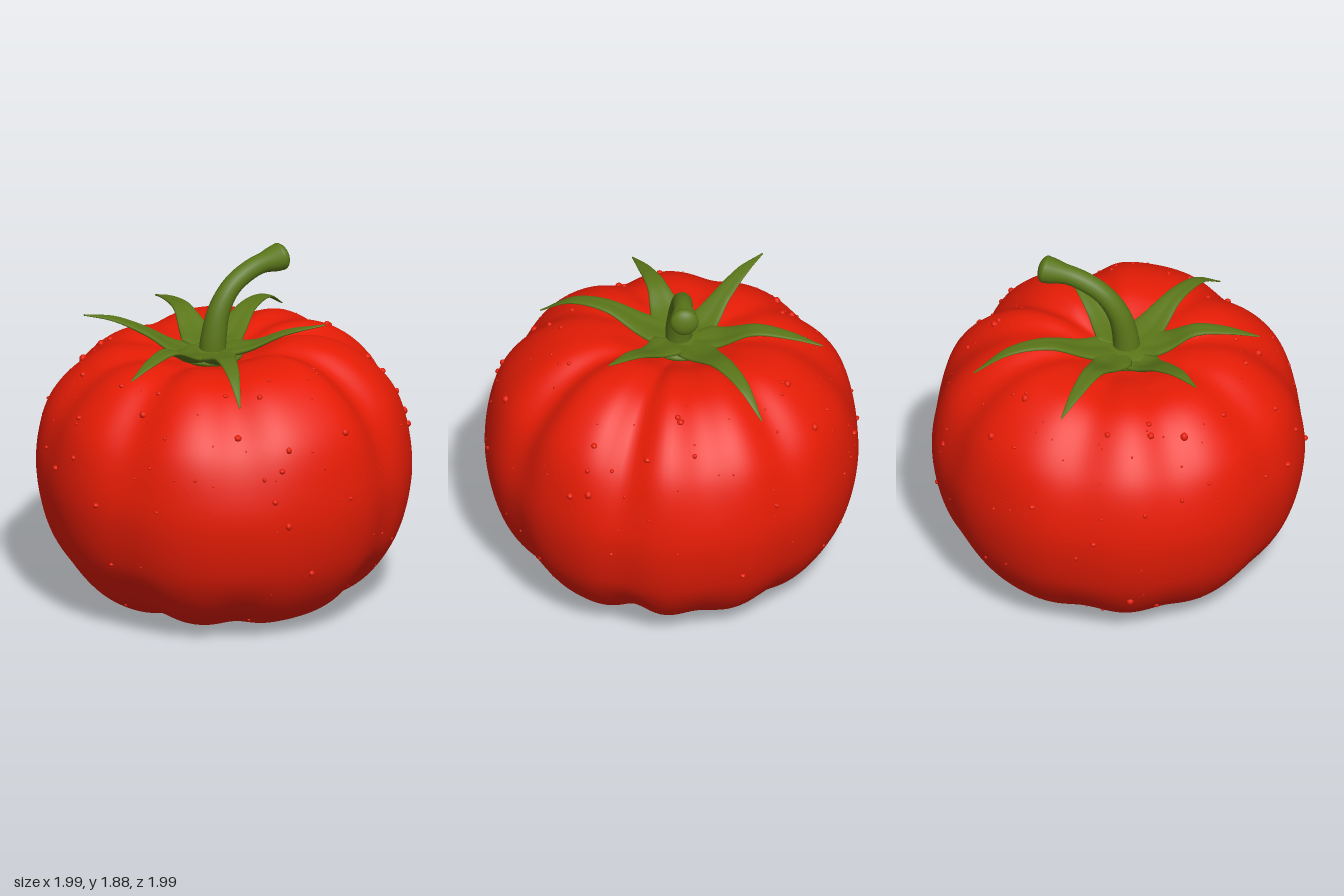
import * as THREE from 'three';
import { mergeGeometries } from 'three/addons/utils/BufferGeometryUtils.js';
import { ParametricGeometry } from 'three/addons/geometries/ParametricGeometry.js';

const red = new THREE.MeshStandardMaterial({ color: 0xe61c05 });
red.name = 'ripe red';
const green = new THREE.MeshStandardMaterial({ color: 0x5a7619 });
green.name = 'stalk green';

const curve = (pts) => new THREE.CatmullRomCurve3(pts.map((p) => new THREE.Vector3(...p)));
const smooth = THREE.MathUtils.smoothstep;
const CENTRE_X = -0.07;

// Body profile (radius, height), from the bottom dimple to the top dimple
const profile = curve([
  [0.002, 0.15, 0], [0.1, 0.085, 0], [0.28, 0.025, 0], [0.5, 0.015, 0], [0.73, 0.13, 0],
  [0.9, 0.36, 0], [0.978, 0.64, 0], [0.978, 0.88, 0], [0.91, 1.13, 0], [0.76, 1.31, 0],
  [0.58, 1.41, 0], [0.38, 1.42, 0], [0.2, 1.36, 0], [0.002, 1.3, 0],
]);

// Furrows between the lobes: angle from +x towards +z, depth, width (degrees)
const furrows = [
  [20, 0.075, 9], [-22, 0.085, 9], [-50, 0.045, 10], [-80, 0.045, 9], [77, 0.05, 11],
  [117, 0.06, 11], [157, 0.035, 10], [194, 0.035, 10], [228, 0.05, 12],
];

// A point on the body; u goes round, v goes up the profile
function bodyPoint(u, v, target) {
  const angle = -u * Math.PI * 2;
  const p = profile.getPoint(v);
  let depth = 0;
  for (const [deg, d, width] of furrows) {
    const diff = angle - THREE.MathUtils.degToRad(deg);
    const a = THREE.MathUtils.radToDeg(Math.atan2(Math.sin(diff), Math.cos(diff)));
    depth += d * Math.exp(-((a / width) ** 2));
  }
  const top = smooth(p.y, 0.7, 1.35);
  const bottom = 1 - smooth(p.y, 0.05, 0.45);
  const shoulder = smooth(p.x, 0.05, 0.45);
  const r = p.x * (1.012 - depth * (0.35 + 0.65 * top + 0.4 * bottom));
  const rise = top * (0.04 * Math.cos(angle) - 0.55 * depth) + 0.4 * bottom * depth;
  const shift = p.y > 0.7 ? CENTRE_X * (1 - p.x) : 0;
  return target.set(r * Math.cos(angle) + shift, p.y + shoulder * rise, r * Math.sin(angle));
}

// Small seeded random numbers
function makeRandom(seed) {
  return () => (seed = (seed * 16807) % 2147483647) / 2147483647;
}

// Little warts scattered over the skin, denser on the shoulders
function wartGeometry() {
  const random = makeRandom(4217);
  const parts = [];
  const p = new THREE.Vector3();
  for (let i = 0; i < 150; i++) {
    const v = i % 3 ? 0.52 + 0.24 * random() : 0.28 + 0.32 * random();
    const size = 0.005 + 0.016 * random() ** 3;
    bodyPoint(random(), v, p);
    const wart = new THREE.SphereGeometry(size, 8, 6);
    wart.scale(1, 0.7 + 0.5 * random(), 1);
    parts.push(wart.translate(p.x, p.y, p.z));
  }
  return mergeGeometries(parts);
}

// Half-widths of a sepal at stations along its length
const sepalWidths = [[0, 0.03], [0.18, 0.11], [0.3, 0.085], [0.45, 0.058], [0.75, 0.034], [1, 0.004]];

function sepalWidth(v) {
  let i = 0;
  while (i < sepalWidths.length - 2 && v > sepalWidths[i + 1][0]) i++;
  const [a, b] = [sepalWidths[i], sepalWidths[i + 1]];
  return THREE.MathUtils.mapLinear(v, a[0], b[0], a[1], b[1]);
}

// A tapering leaf along +z, with a lens section whose edges turn up
function sepalGeometry(points) {
  const spine = curve(points.map(([r, y]) => [0, y, r]));
  return new ParametricGeometry((u, v, target) => {
    const a = u * Math.PI * 2;
    const p = spine.getPoint(v);
    const x = sepalWidth(v) * Math.cos(a);
    const thick = 0.004 + 0.024 * (1 - v);
    target.set(x, p.y + thick * Math.sin(a) + 0.25 * Math.abs(x) * (1 - v), p.z);
  }, 16, 28);
}

// A curved stalk whose radius changes along its length
function stalkGeometry(path, radiusAt) {
  const rings = 48, sides = 20;
  const geo = new THREE.TubeGeometry(path, rings, 1, sides);
  const pos = geo.attributes.position;
  const v = new THREE.Vector3();
  for (let i = 0; i < pos.count; i++) {
    const t = Math.floor(i / (sides + 1)) / rings;
    const c = path.getPointAt(t);
    v.fromBufferAttribute(pos, i).sub(c).multiplyScalar(radiusAt(t)).add(c);
    pos.setXYZ(i, v.x, v.y, v.z);
  }
  return geo;
}

export function createModel() {
  const model = new THREE.Group();
  model.name = 'tomato';
  const add = (name, geometry, material, parent = model) => {
    const mesh = new THREE.Mesh(geometry, material);
    mesh.name = name;
    parent.add(mesh);
    return mesh;
  };

  add('body', new ParametricGeometry(bodyPoint, 160, 90), red);
  add('warts', wartGeometry(), red);

  // Calyx: a low collar and six leaves given by tip (x, z) and spine (reach, height)
  const calyx = new THREE.Group();
  calyx.name = 'calyx';
  calyx.position.x = CENTRE_X;
  model.add(calyx);
  const collar = add('collar', new THREE.SphereGeometry(0.17, 24, 12), green, calyx);
  collar.scale.y = 0.25;
  collar.position.y = 1.36;

  const arch = (reach, tip) => [
    [0, 1.355], [0.2, 1.39], [0.52 * reach, 1.475], [0.77 * reach, 1.465], [reach, tip],
  ];
  const sepals = [
    [-1, 0, [[0, 1.355], [0.17, 1.365], [0.35, 1.465], [0.52, 1.53], [0.68, 1.545]]],
    [1, 0, [[0, 1.355], [0.2, 1.4], [0.4, 1.495], [0.61, 1.55]]],
    [-0.38, -0.66, arch(0.76, 1.42)],
    [0.28, -0.78, arch(0.83, 1.36)],
    [-0.35, 0.62, arch(0.71, 1.42)],
    [0.25, 0.76, arch(0.8, 1.35)],
  ];
  for (const [x, z, points] of sepals) {
    add('sepal', sepalGeometry(points), green, calyx).rotation.y = Math.atan2(x, z);
  }

  // Bent stalk flaring into a rounded cut end
  const path = curve([
    [-0.065, 1.33, 0.01], [-0.055, 1.46, 0.005], [-0.03, 1.6, -0.025],
    [0.03, 1.715, -0.085], [0.135, 1.79, -0.18], [0.265, 1.815, -0.295],
  ]);
  add('stalk', stalkGeometry(path, (t) =>
    0.053 + 0.02 * (1 - smooth(t, 0, 0.6)) + 0.02 * smooth(t, 0.82, 0.98)), green);
  const knob = add('stalkEnd', new THREE.SphereGeometry(0.075, 24, 16), green);
  knob.scale.y = 0.55;
  knob.position.copy(path.getPointAt(0.99));
  knob.quaternion.setFromUnitVectors(new THREE.Vector3(0, 1, 0), path.getTangentAt(1));

  return model;
}
